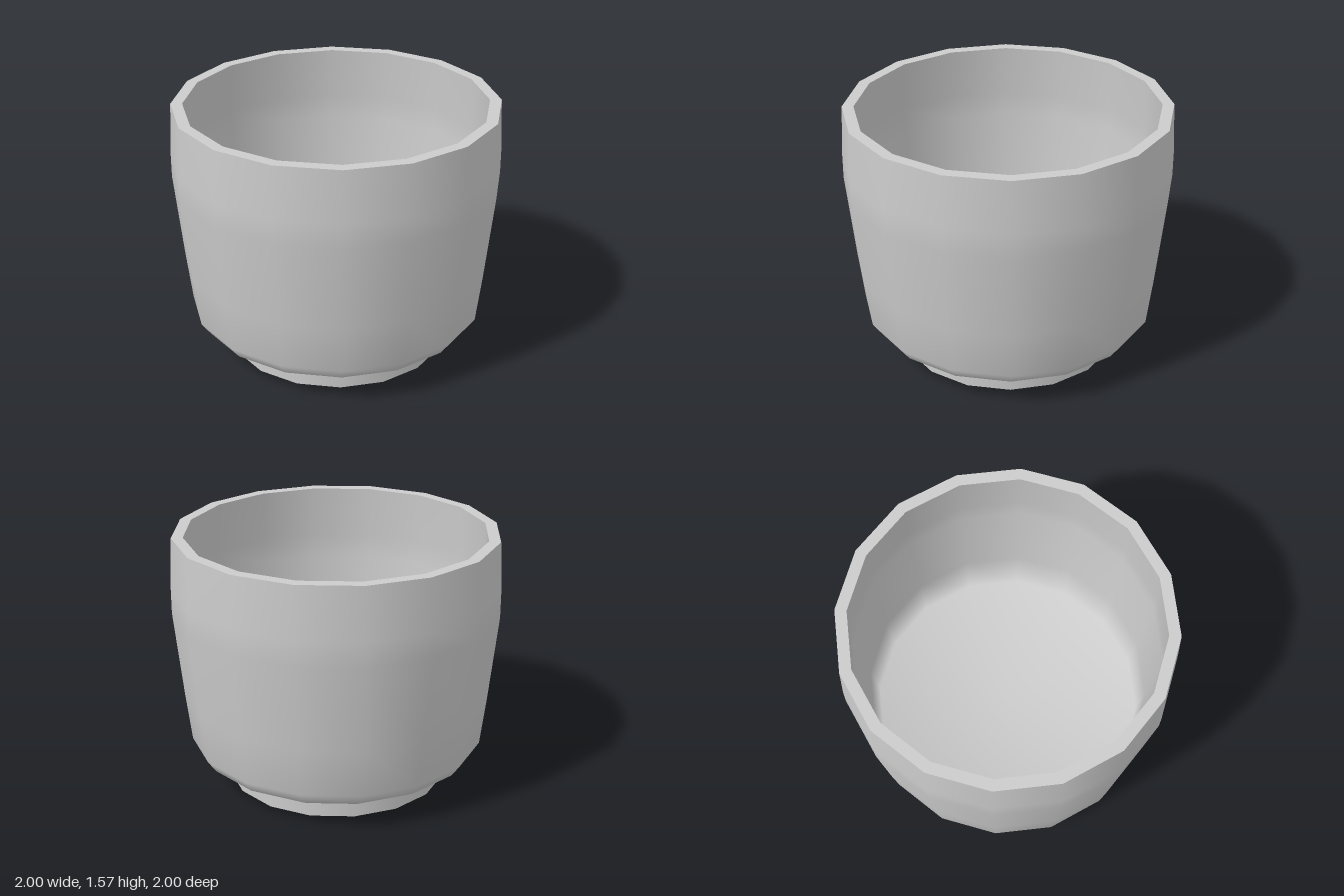
import * as THREE from 'three';

const SIDES = 16;
const material = new THREE.MeshStandardMaterial({ color: 0xcccccc });

// Revolve a profile of [radius, height] pairs; each mesh is smooth, edges between meshes stay sharp
function lathe(name, profile) {
  const points = profile.map(([r, y]) => new THREE.Vector2(r, y));
  const mesh = new THREE.Mesh(new THREE.LatheGeometry(points, SIDES), material);
  mesh.name = name;
  return mesh;
}

export function createModel() {
  const cup = new THREE.Group();
  cup.name = 'cup';

  // Foot: flat underside and short straight wall
  cup.add(lathe('footBase', [[0, 0], [0.68, 0]]));
  cup.add(lathe('footWall', [[0.68, 0], [0.68, 0.11]]));

  // Outer wall: rounded bottom, gently bulging side
  cup.add(lathe('outerWall', [
    [0.68, 0.11], [0.775, 0.137], [0.855, 0.185], [0.908, 0.26],
    [0.944, 0.56], [1, 1.1], [1, 1.25], [0.985, 1.57],
  ]));

  // Flat rim
  cup.add(lathe('rim', [[0.985, 1.57], [0.915, 1.57]]));

  // Inner wall running smoothly into the floor
  cup.add(lathe('interior', [
    [0.915, 1.57], [0.93, 1.25], [0.93, 1.1], [0.874, 0.56], [0.84, 0.26], [0, 0.26],
  ]));

  return cup;
}
